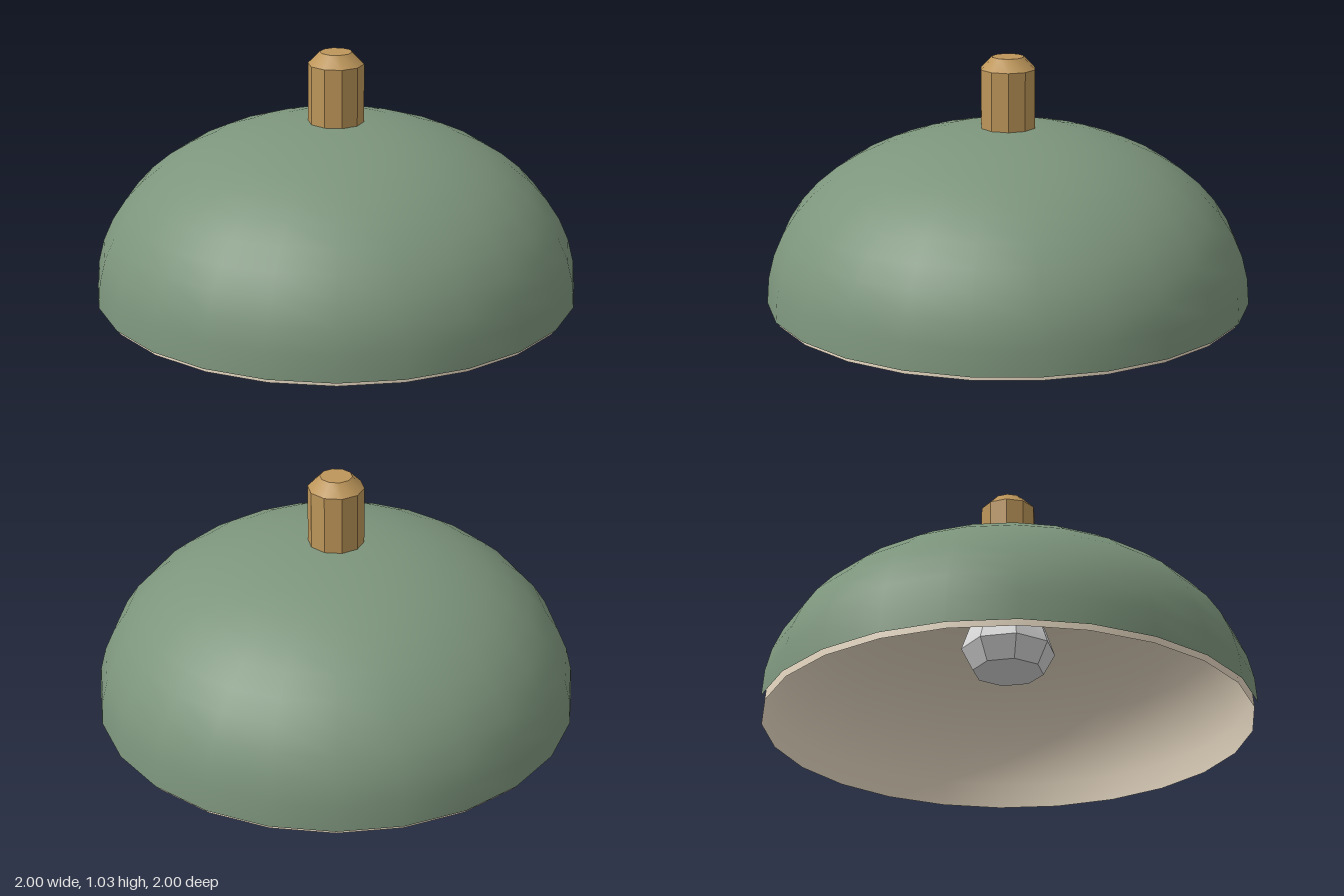
import * as THREE from 'three';
import { toCreasedNormals } from 'three/addons/utils/BufferGeometryUtils.js';

const mat = (name, color, side = THREE.FrontSide) => {
  const m = new THREE.MeshStandardMaterial({ color, side });
  m.name = name;
  return m;
};

// Slightly full quarter-ellipse from the rim (radius r, height y0) up to the apex
function domeProfile(r, y0, h, steps = 12) {
  const power = 2 / 2.12;
  const pts = [];
  for (let i = 0; i <= steps; i++) {
    const a = (i / steps) * Math.PI / 2;
    const x = i === steps ? 0 : r * Math.cos(a) ** power;
    pts.push(new THREE.Vector2(x, y0 + h * Math.sin(a) ** power));
  }
  return pts;
}

// Faceted lathe: sharp between sides, soft across shallow bevels
function facetedLathe(list, sides, start) {
  const pts = list.map(([x, y]) => new THREE.Vector2(x, y));
  return toCreasedNormals(new THREE.LatheGeometry(pts, sides, start), 0.5);
}

export function createModel() {
  const green = mat('sage green enamel', 0x7d957c);
  const cream = mat('cream lining', 0xe3d5bf, THREE.DoubleSide);
  const brass = mat('brass', 0xbd965a);
  const glass = mat('pale bulb glass', 0xd8d8d8);

  const group = new THREE.Group();
  group.name = 'pendantLamp';
  const add = (name, geometry, material) => {
    const mesh = new THREE.Mesh(geometry, material);
    mesh.name = name;
    group.add(mesh);
  };

  // Outer shade, smooth around 24 sides
  add('shade', new THREE.LatheGeometry(domeProfile(1, 0.018, 0.722), 24), green);

  // Thin lining, its edge showing just below the shade
  add('lining', new THREE.LatheGeometry(domeProfile(0.985, 0, 0.722), 24), cream);

  // Ten-sided cap with a bevelled top
  add('cap', facetedLathe([[0.115, 0.725], [0.115, 0.978], [0.066, 1.027], [0, 1.027]], 10, Math.PI / 2), brass);

  // Faceted bulb and the neck that joins it to the shade
  const bulb = [[0, 0.24], [0.146, 0.24], [0.194, 0.33], [0.155, 0.44], [0.065, 0.53], [0.065, 0.72]];
  add('bulb', facetedLathe(bulb, 8, Math.PI / 8), glass);

  return group;
}
